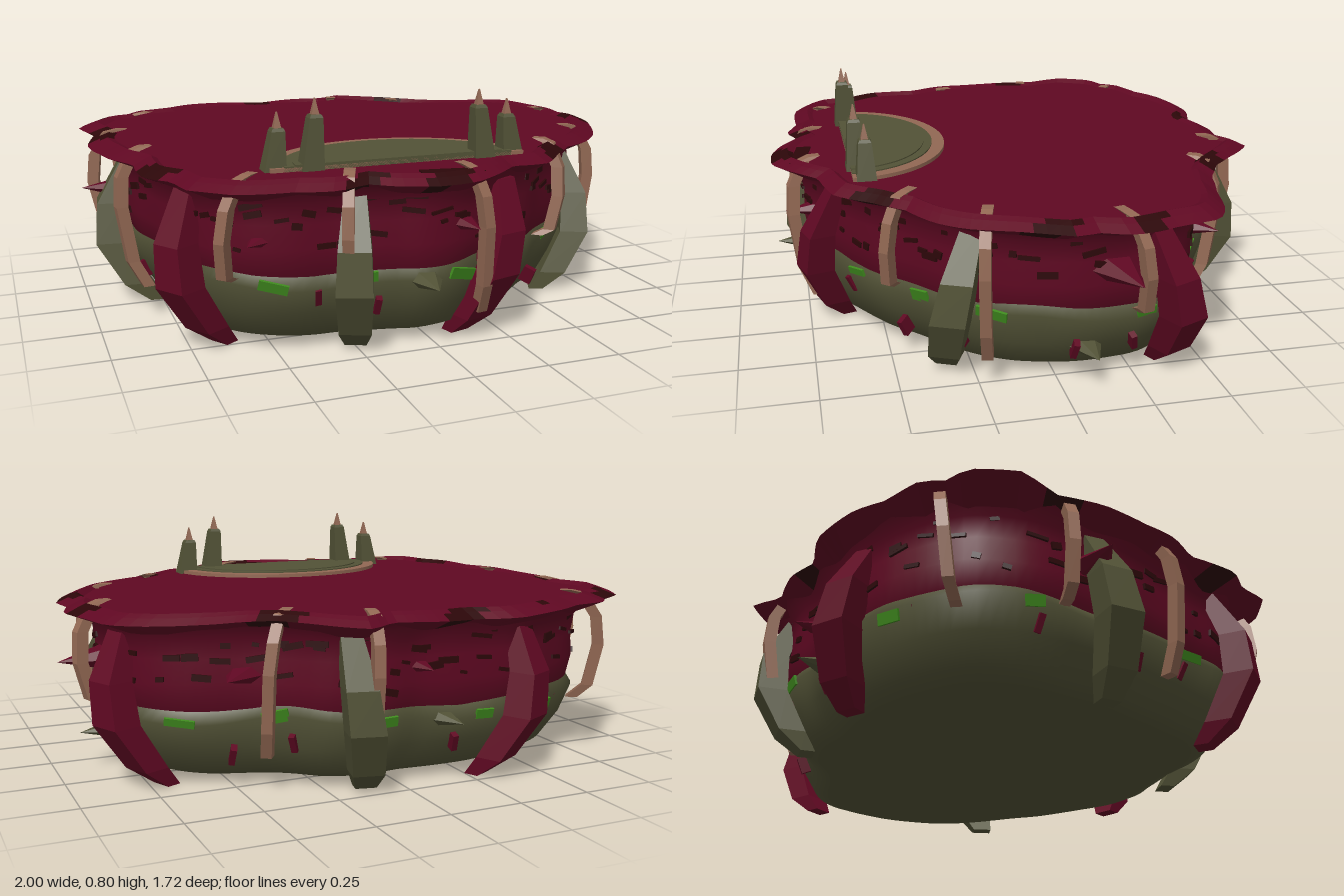
import * as THREE from 'three';

const mat = (name, color) => Object.assign(new THREE.MeshStandardMaterial({ color }), { name });

// Ragged rim outline, x and z pairs
const RIM = [[.97, -.18], [.93, -.34], [.9, -.47], [.82, -.52], [.66, -.56], [.52, -.6], [.42, -.66], [.33, -.75],
  [.2, -.87], [.1, -.8], [-.07, -.83], [-.2, -.8], [-.34, -.85], [-.53, -.81], [-.63, -.75], [-.78, -.71], [-.81, -.65],
  [-.9, -.62], [-.97, -.48], [-.93, -.33], [-.97, -.18], [-.95, 0], [-.93, .13], [-.87, .25], [-.87, .45], [-.8, .55],
  [-.78, .67], [-.66, .75], [-.48, .75], [-.35, .79], [-.25, .75], [-.18, .81], [-.07, .85], [.07, .85], [.16, .8],
  [.27, .7], [.42, .66], [.52, .55], [.62, .45], [.74, .38], [.82, .3], [.9, .15], [.96, 0], [.94, -.08]];
const TAU = Math.PI * 2;
const polar = RIM.map(([x, z]) => [(Math.atan2(z, x) + TAU) % TAU, Math.hypot(x, z)]).sort((a, b) => a[0] - b[0]);

// Rim radius at an angle, and a softened version for the walls
function rimR(t) {
  t = ((t % TAU) + TAU) % TAU;
  const n = polar.length;
  let k = polar.findIndex(p => p[0] > t);
  if (k < 0) k = n;
  const a = polar[(k - 1 + n) % n], b = polar[k % n];
  const span = (b[0] - a[0] + TAU) % TAU, d = (t - a[0] + TAU) % TAU;
  return a[1] + (b[1] - a[1]) * d / span;
}
function softR(t) {
  let s = 0;
  for (let k = -4; k <= 4; k++) s += rimR(t + k * 0.045);
  return s / 9;
}

// Closed rings joined into a skin; rows run upward for outward faces
function loft(n, rows, point, flat = false, slot = null) {
  const pos = [], idx = [];
  for (let j = 0; j < rows; j++) for (let i = 0; i < n; i++) pos.push(...point(i, j));
  let g = new THREE.BufferGeometry();
  for (let j = 0; j < rows - 1; j++) for (let i = 0; i < n; i++) {
    const a = j * n + i, b = j * n + (i + 1) % n, c = a + n, d = b + n;
    if (slot) g.addGroup(idx.length, 6, slot(i, j));
    idx.push(a, c, b, b, c, d);
  }
  g.setAttribute('position', new THREE.Float32BufferAttribute(pos, 3));
  g.setIndex(idx);
  if (flat) {
    const groups = g.groups;
    g = g.toNonIndexed();
    g.groups = groups;
  }
  g.computeVertexNormals();
  return g;
}

// Faceted spar from four-sided sections [out, y, side, half width, half depth], bottom to top
function spar(sections) {
  const s = [sections[0], ...sections, sections[sections.length - 1]];
  return loft(4, s.length, (i, j) => {
    const [o, y, side, w, d] = s[j], k = j === 0 || j === s.length - 1 ? 0 : 1;
    return [o + k * d * [1, 1, -1, -1][i], y, side + k * w * [-1, 1, 1, -1][i]];
  }, true);
}

export function createModel() {
  const model = new THREE.Group();
  const red = mat('crimson', 0x5f0822), green = mat('olive stone', 0x525236), tan = mat('bone', 0x926853);
  const dark = mat('dark blood', 0x2c0709), moss = mat('moss', 0x3f8a1e);
  let seed = 7;
  const rand = (a, b) => {
    seed = (seed * 16807) % 2147483647;
    return a + (b - a) * seed / 2147483647;
  };
  const add = (name, geo, material, parent = model) => {
    const m = new THREE.Mesh(geo, material);
    m.name = name;
    parent.add(m);
    return m;
  };
  // Group whose local x points outward at an angle
  const spoke = (name, t) => {
    const g = new THREE.Group();
    g.name = name;
    g.rotation.y = -t;
    model.add(g);
    return g;
  };

  // Skins following the outline: profile of [scale, y, waviness]
  const N = 150;
  const skin = (profile, radius) => [N, profile.length, (i, j) => {
    const t = i / N * TAU, [s, y, w = 0] = profile[j], r = s * radius(t);
    return [r * Math.cos(t), y + w * (Math.sin(5 * t + 1) + .6 * Math.sin(11 * t)), r * Math.sin(t)];
  }];
  add('stoneBase', loft(...skin([[0, .02], [.4, .02], [.72, .023], [.79, .05], [.85, .14], [.888, .235, .012],
    [.86, .28, .015]], softR)), green);
  add('fleshWall', loft(...skin([[.82, .21], [.868, .27], [.885, .35], [.88, .43], [.89, .5], [.94, .55]], softR)), red);
  const lip = [[.89, .515], [1, .56, .005], [.957, .578, .004], [.93, .588, .003], [.905, .577]];
  const blotch = (i, j) => Math.sin(i * .71 + j * .5) + Math.sin(i * .29 + 2 + j * .3) > [1.1, .75, .7, 1.1][j];
  add('raggedRim', loft(...skin(lip, rimR), true, (i, j) => (blotch(i, j) ? 1 : 0)), [red, dark]);
  add('topGround', loft(...skin([[.91, .577], [0, .577]], rimR)), red);
  const pool = add('darkPool', new THREE.BoxGeometry(.2, .006, .05), dark);
  pool.position.set(.03, .578, .75);
  pool.rotation.y = -.15;

  // Alternating stone and flesh claws gripping the wall
  const claws = [[.72, .33, green, -.05], [.22, .78, red, -.06], [-.27, .7, green, 0], [-.75, .5, red, .03],
    [-.9, -.1, green, .04], [-.4, -.78, red, -.05], [.17, -.75, green, .03], [.82, -.37, red, .05]];
  for (const [x, z, m, lean] of claws) {
    const t = Math.atan2(z, x), r = softR(t);
    add('claw', spar([[.79 * r, .005, -lean, .035, .025], [.86 * r, .07, -lean * .7, .052, .045],
      [.95 * r, .22, 0, .058, .05], [.945 * r, .36, lean * .6, .052, .045], [.87 * r, .52, lean * 1.2, .035, .025]]),
    m, spoke('clawMount', t));
  }

  // Slim bone ribs hooked over the rim: x, z, height of the lower end
  const ribs = [[-.75, -.6, .2], [.14, -.76, .16], [.4, -.59, .12], [.86, -.22, .26], [.82, .24, .1], [.48, .44, .26],
    [.13, .75, .1], [-.28, .68, .22], [-.61, .61, .26], [-.81, .13, .12], [-.83, -.25, .24]];
  ribs.forEach(([x, z, low], k) => {
    const t = Math.atan2(z, x), r = softR(t), lean = .012 * (k % 3 - 1);
    add('rib', spar([[.9, low], [.95, low * .5 + .15], [.98, .4], [.97, .5], [.92, .582], [.87, .594]]
      .map(([s, y], i) => [s * r, y, lean * (2 - i), .018, .02])), tan, spoke('ribMount', t));
  });

  // Broad flattened thorns: [angle x, angle z, height, reach, colour]
  const thorns = [[1, -.2, .4, 1.02, red], [-1, -.18, .4, 1.015, red], [.1, .8, .4, .82, red], [-.05, -.8, .4, .8, red],
    [-.6, .68, .38, .92, red], [.55, -.6, .38, .84, red],
    [.95, -.1, .13, .92, green], [-.05, .85, .23, .85, green], [-.15, -.8, .22, .83, green], [-.7, -.6, .2, .9, green]];
  for (const [x, z, y, reach, m] of thorns) {
    const mount = spoke('thornMount', Math.atan2(z, x));
    const cone = add('thorn', new THREE.ConeGeometry(.085, .22, 6).toNonIndexed(), m, mount);
    cone.geometry.computeVertexNormals();
    cone.rotation.z = -Math.PI / 2;
    cone.scale.set(.65, 1, 1.2);
    cone.position.set(reach - .11, y, 0);
  }

  // Thin streaks on the flesh, moss on the stone and small barbs below
  const plate = (name, t, s, y, w, h, d, m, tilt = 0) => {
    const p = add(name, new THREE.BoxGeometry(d, h, w), m, spoke(name + 'Mount', t));
    const e = .03, slope = (softR(t + e) - softR(t - e)) / (2 * e * softR(t));
    p.position.set(s * softR(t), y, 0);
    p.rotation.set(rand(-.25, .25), Math.atan(slope), tilt, 'YXZ');
  };
  for (let k = 0; k < 110; k++) {
    plate('wallStreak', k / 110 * TAU + rand(-.04, .04), .886, rand(.33, .51), rand(.02, .08), rand(.01, .025), .009, dark);
  }
  for (let k = 0; k < 15; k++) {
    plate('mossPatch', k / 15 * TAU + rand(.1, .3), .886, rand(.215, .25), rand(.06, .12), rand(.025, .045), .009, moss, -.25);
  }
  for (let k = 0; k < 18; k++) plate('barb', k / 18 * TAU + rand(-.1, .1), .85, rand(.1, .22), .02, .06, .05, red, -.4);

  // Half-round dais with a bone border
  const halfDisc = (name, rx, rz, top, m) => {
    const g = new THREE.CylinderGeometry(1, 1, .03, 40, 1, false, Math.PI / 2, Math.PI);
    const d = add(name, g, m);
    d.scale.set(rx, 1, rz);
    d.position.set(-.07, top - .015, .59);
    const face = add(name + 'Front', new THREE.PlaneGeometry(rx * 2, .03), m);
    face.position.set(-.07, top - .015, .59);
  };
  halfDisc('daisBorder', .435, .365, .59, tan);
  halfDisc('daisFloor', .39, .32, .594, green);
  halfDisc('daisStep', .355, .29, .598, green);

  // Four tapered horns with slender bone tips
  for (const [x, z, h] of [[-.485, .545, .71], [-.37, .57, .75], [.22, .57, .75], [.335, .545, .71]]) {
    const lean = x < -.07 ? .014 : -.014;
    const horn = new THREE.Group();
    horn.name = 'horn';
    horn.position.set(x, 0, z);
    model.add(horn);
    add('hornShaft', spar([[0, .57, 0, .034, .036], [lean, h - .01, 0, .022, .022], [lean, h, 0, .017, .017]]), green, horn);
    add('hornTip', spar([[lean, h - .01, 0, .014, .014], [lean, h + .05, 0, .002, .002]]), tan, horn);
  }
  return model;
}
